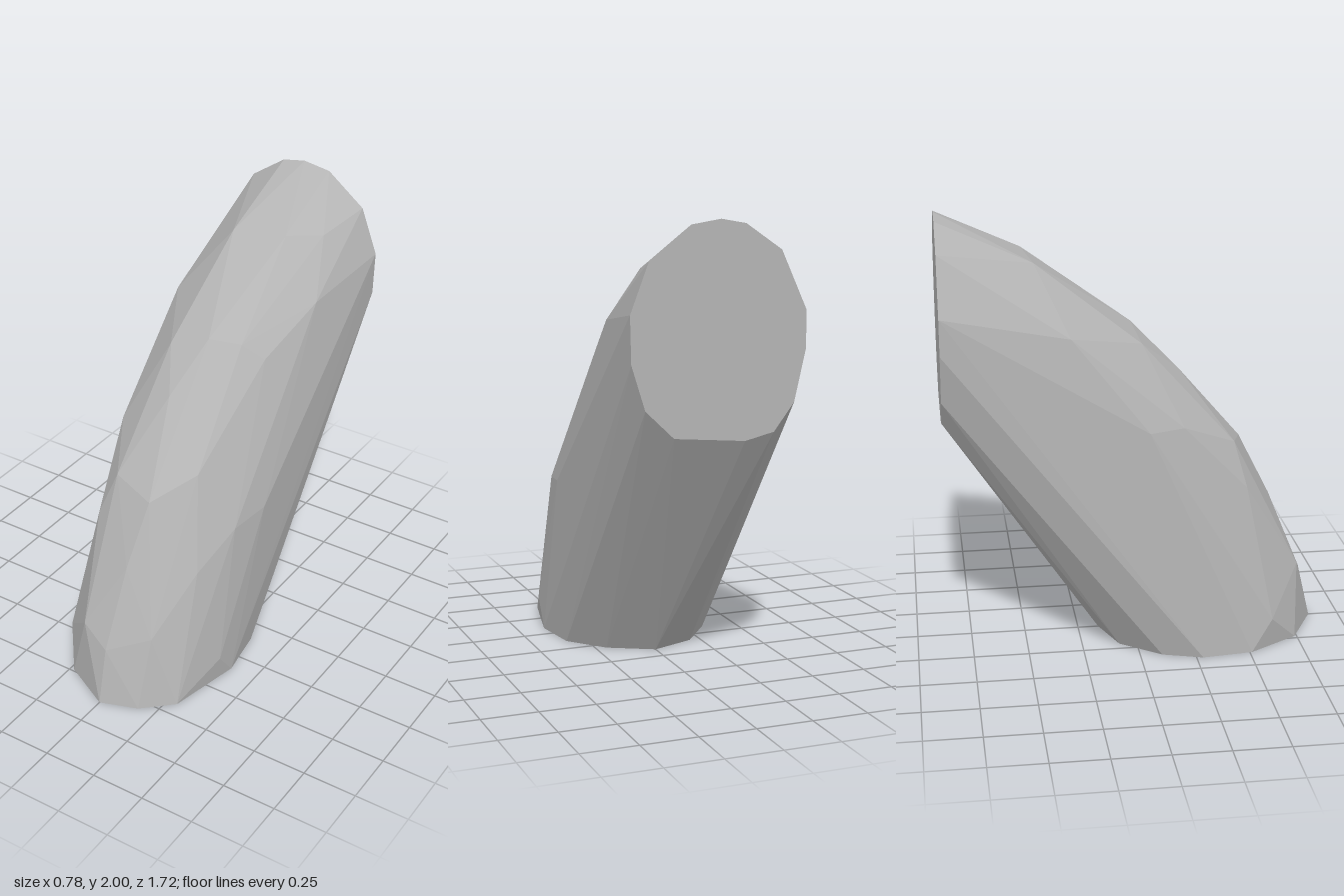
import * as THREE from 'three';
import { ConvexGeometry } from 'three/addons/geometries/ConvexGeometry.js';

// Outline of the base on y = 0, as [x, z]
const base = [
  [0, 0.86], [0.17, 0.80], [0.30, 0.68], [0.375, 0.34], [0.34, 0.11], [0.2, -0.05], [0, -0.155],
  [-0.2, -0.08], [-0.34, 0.1], [-0.395, 0.28], [-0.37, 0.51], [-0.23, 0.74],
];

// Outline of the flat back end on z = -0.86, as [x, y]
const back = [
  [0, 2.0], [0.13, 1.98], [0.31, 1.84], [0.39, 1.63], [0.385, 1.43], [0.325, 1.24], [0.2, 1.12],
  [-0.115, 1.09], [-0.245, 1.12], [-0.335, 1.24], [-0.385, 1.46], [-0.385, 1.62], [-0.27, 1.87], [-0.11, 1.98],
];

// Corners of the faceted outer bend, from bottom to top, as [x, y, z]
const bend = [
  [-0.33, 0.14, 0.61], [0.37, 0.12, 0.43], [0, 0.26, 0.80], [-0.14, 0.33, 0.76], [0.18, 0.33, 0.70],
  [0.28, 0.6, 0.48], [0.02, 0.63, 0.65], [-0.23, 0.75, 0.5], [0.35, 0.75, 0.28], [0.385, 0.77, 0.09],
  [0.05, 0.91, 0.51], [-0.16, 0.95, 0.45], [0.2, 1.02, 0.35], [-0.3, 1.07, 0.2], [-0.36, 1.07, 0.04],
  [-0.04, 1.27, 0.21], [0.26, 1.4, -0.1], [-0.15, 1.42, 0.03], [0.03, 1.48, 0], [0.17, 1.47, -0.05],
  [-0.33, 1.5, -0.3], [0.33, 1.56, -0.42], [-0.12, 1.79, -0.44], [0.13, 1.81, -0.48], [0.25, 1.79, -0.61],
];

export function createModel() {
  const group = new THREE.Group();
  group.name = 'bentColumn';

  const stone = new THREE.MeshStandardMaterial({ color: 0xb4b4b4 });
  stone.name = 'grey';

  // The solid wraps tightly around both flat ends and the bend
  const points = [
    ...base.map(([x, z]) => new THREE.Vector3(x, 0, z)),
    ...back.map(([x, y]) => new THREE.Vector3(x, y, -0.86)),
    ...bend.map((p) => new THREE.Vector3(...p)),
  ];
  const body = new THREE.Mesh(new ConvexGeometry(points), stone);
  body.name = 'body';
  group.add(body);
  return group;
}
